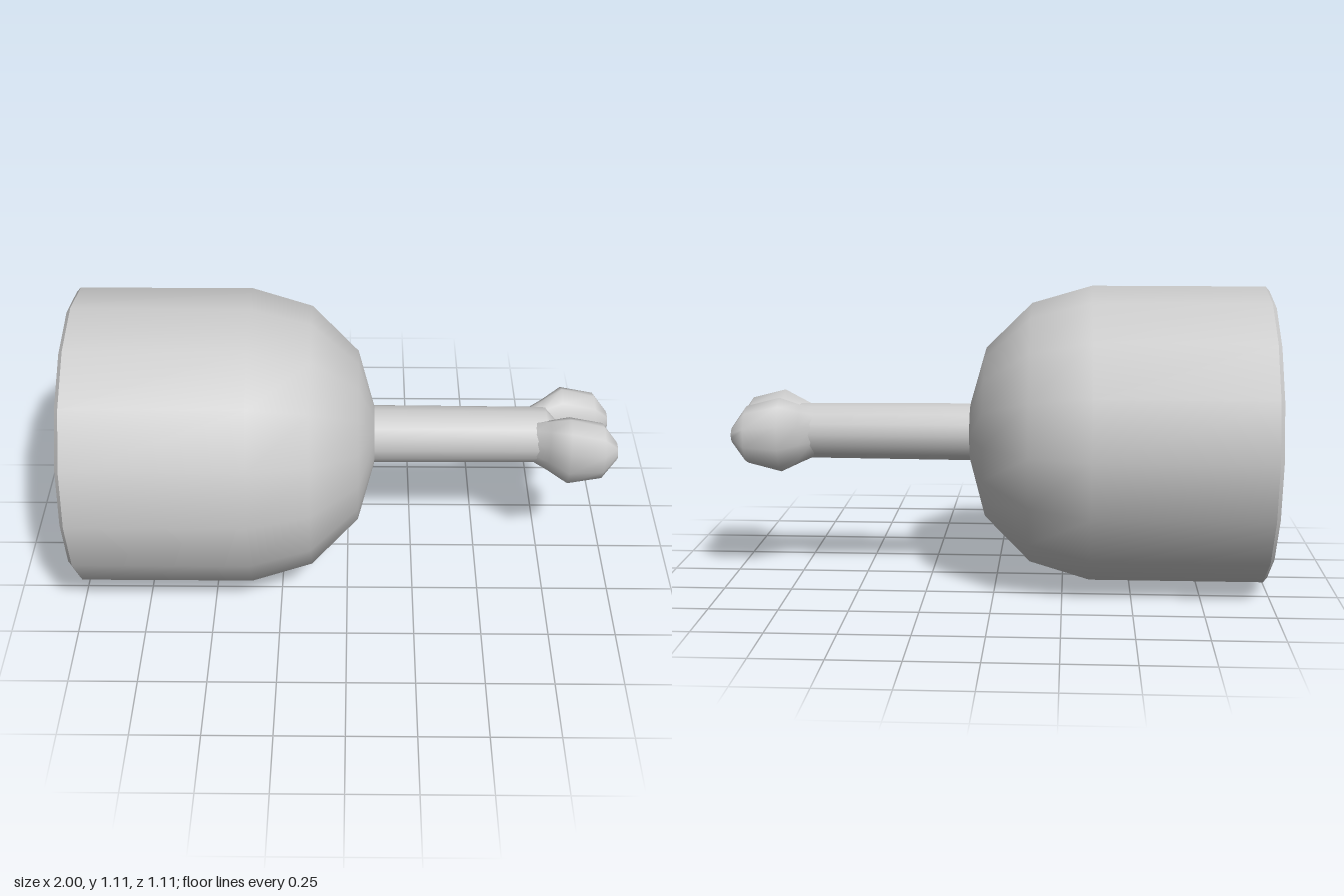
import * as THREE from 'three';

const SIDES = 16;
const material = new THREE.MeshStandardMaterial({ color: 0xcccccc });

function addMesh(group, name, geometry) {
  const mesh = new THREE.Mesh(geometry, material);
  mesh.name = name;
  group.add(mesh);
  return mesh;
}

// Turned solid along +x from [x, radius] pairs
function turned(profile, sides) {
  const points = profile.map(([x, r]) => new THREE.Vector2(r, x));
  return new THREE.LatheGeometry(points, sides).rotateZ(-Math.PI / 2);
}

// Closed loft along +x from [x, centreZ, halfHeight, halfDepth] rings
function loft(rings, sides) {
  const positions = [];
  const indices = [];
  rings.forEach(([x, cz, ry, rz], i) => {
    for (let j = 0; j < sides; j++) {
      const t = (j / sides) * Math.PI * 2;
      positions.push(x, Math.cos(t) * ry, cz + Math.sin(t) * rz);
      if (i === rings.length - 1) continue;
      const a = i * sides + j;
      const b = i * sides + (j + 1) % sides;
      indices.push(a, b, a + sides, b, b + sides, a + sides);
    }
  });
  // Tip cap
  const last = (rings.length - 1) * sides;
  for (let j = 1; j < sides - 1; j++) indices.push(last, last + j, last + j + 1);
  const geometry = new THREE.BufferGeometry();
  geometry.setAttribute('position', new THREE.Float32BufferAttribute(positions, 3));
  geometry.setIndex(indices);
  geometry.computeVertexNormals();
  return geometry;
}

export function createModel() {
  const model = new THREE.Group();
  model.name = 'meatOnBone';
  const axis = new THREE.Group();
  axis.name = 'leg';
  axis.position.y = 0.5525;
  model.add(axis);

  // Meat: straight cylinder rounding over towards the bone
  addMesh(axis, 'meat', turned(
    [[-0.985, 0.5525], [-0.35, 0.5525], [-0.13, 0.488], [0.04, 0.32], [0.1, 0.108]], SIDES));

  // Cut end: narrow bevel and flat face
  addMesh(axis, 'cutRim', turned([[-1, 0.535], [-0.985, 0.5525]], SIDES));
  const face = new THREE.CircleGeometry(0.535, SIDES).rotateY(-Math.PI / 2);
  addMesh(axis, 'cutFace', face).position.x = -1;

  // Bone shaft, closed inside the knuckles
  addMesh(axis, 'boneShaft', turned([[0.08, 0.109], [0.74, 0.105], [0.78, 0.06], [0.79, 0]], SIDES))
    .position.z = -0.004;

  // Pair of knuckles, the back one slightly shorter
  for (const [name, side, shift] of [['frontKnuckle', 1, 0], ['backKnuckle', -1, -0.015]]) {
    const knuckle = loft([
      [0.7, 0.045 * side, 0.09, 0.05],
      [0.75, 0.065 * side, 0.11, 0.062],
      [0.82, 0.094 * side, 0.14, 0.092],
      [0.945, 0.094 * side, 0.108, 0.092],
      [1.0, 0.094 * side, 0.03, 0.038],
    ], 10);
    addMesh(axis, name, knuckle).position.set(shift, 0, side < 0 ? -0.006 : 0);
  }

  return model;
}
